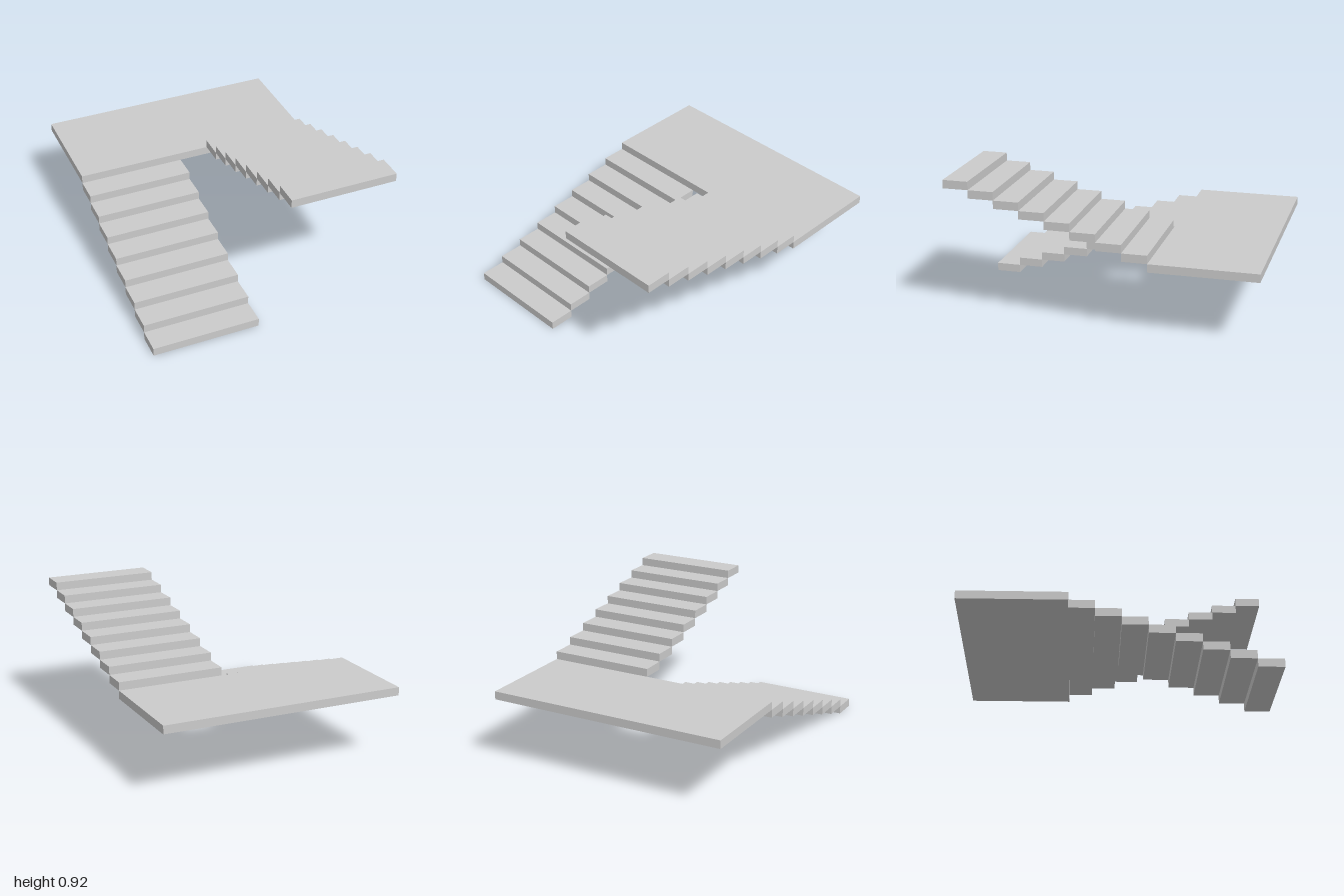
import * as THREE from 'three';

const STEPS = 8;
const RISE = 0.92 / (2 * STEPS + 1); // each slab is one rise thick
const HALF_WIDTH = 0.804;
const LANDING_FRONT = -0.307;
const TREAD = (1 - LANDING_FRONT) / STEPS;

export function createModel() {
  const model = new THREE.Group();
  model.name = 'staircase';
  const material = new THREE.MeshStandardMaterial({ color: 0xcccccc, flatShading: true });

  // Slab spanning x0..x1 and z0..z1, resting at the given rise level
  function slab(name, parent, x0, x1, z0, z1, level) {
    const mesh = new THREE.Mesh(new THREE.BoxGeometry(x1 - x0, RISE, z1 - z0), material);
    mesh.position.set((x0 + x1) / 2, (level + 0.5) * RISE, (z0 + z1) / 2);
    mesh.name = name;
    parent.add(mesh);
  }

  const lowerFlight = new THREE.Group();
  lowerFlight.name = 'lowerFlight';
  const upperFlight = new THREE.Group();
  upperFlight.name = 'upperFlight';
  model.add(lowerFlight, upperFlight);

  // Lower flight climbs to the back, upper flight returns to the front
  for (let i = 0; i < STEPS; i++) {
    const front = 1 - i * TREAD;
    slab(`lowerStep${i + 1}`, lowerFlight, -HALF_WIDTH, -0.099, front - TREAD, front, i);
    slab(`upperStep${STEPS - i}`, upperFlight, 0.095, HALF_WIDTH, front - TREAD, front, 2 * STEPS - i);
  }

  // Landing joining the two flights
  slab('landing', model, -HALF_WIDTH, HALF_WIDTH, -1, LANDING_FRONT, STEPS);
  return model;
}
